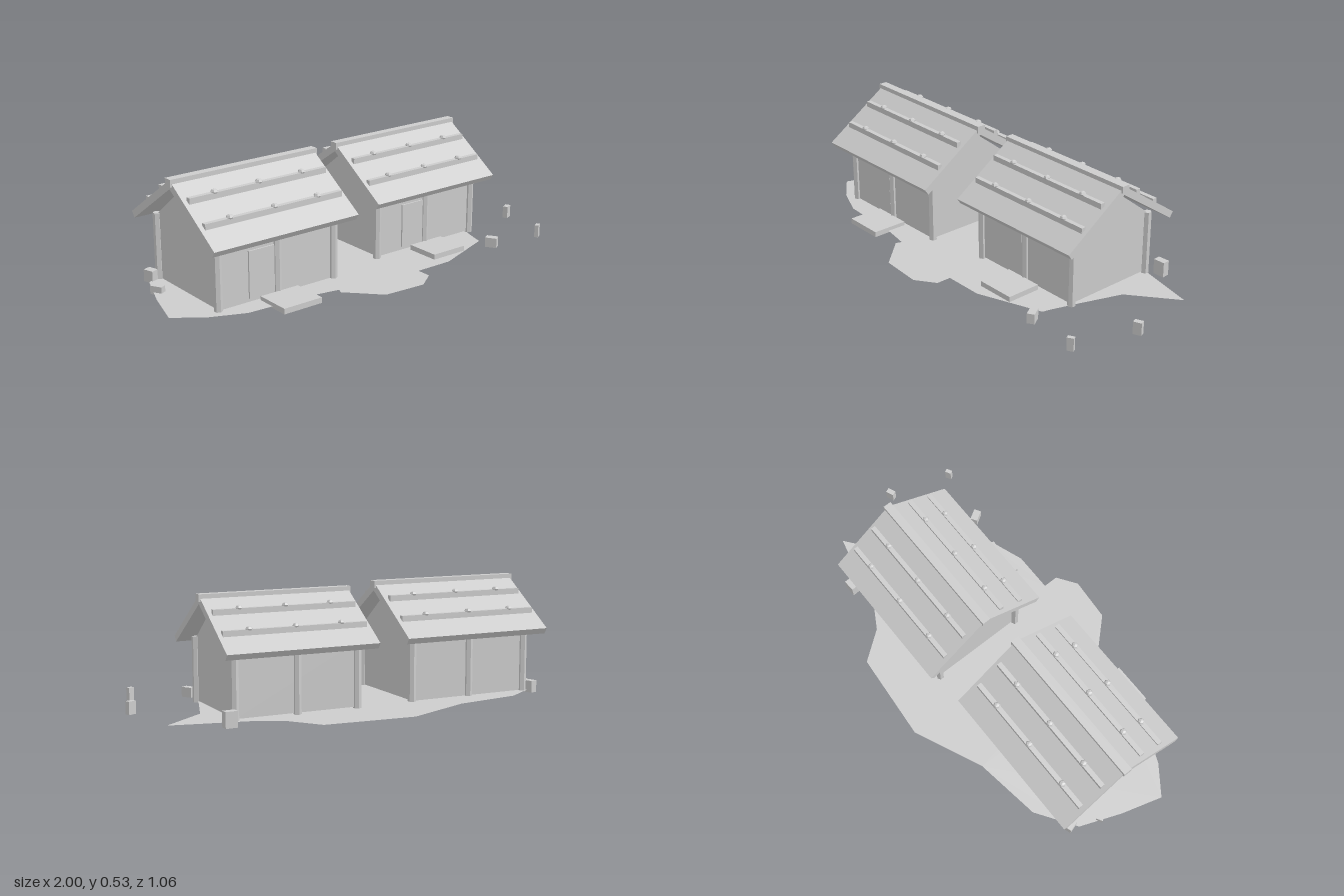
import * as THREE from 'three';

const stoneGrey = new THREE.MeshStandardMaterial({ color: 0xcccccc, flatShading: true });
stoneGrey.name = 'plainGrey';
const groundGrey = stoneGrey.clone();
groundGrey.side = THREE.DoubleSide;

function add(parent, name, geometry, x = 0, y = 0, z = 0, material = stoneGrey) {
  const mesh = new THREE.Mesh(geometry, material);
  mesh.name = name;
  mesh.position.set(x, y, z);
  parent.add(mesh);
  return mesh;
}

// Extrudes a (z, y) outline along x, centred on x = 0
function prism(points, length) {
  const shape = new THREE.Shape(points.map(([a, b]) => new THREE.Vector2(a, b)));
  const geometry = new THREE.ExtrudeGeometry(shape, { depth: length, bevelEnabled: false });
  return geometry.translate(0, 0, -length / 2).rotateY(Math.PI / 2);
}

function createHouse() {
  const house = new THREE.Group();
  house.name = 'house';

  // Walls with pointed gable ends
  add(house, 'walls', prism(
    [[-0.232, 0.014], [0.232, 0.014], [0.232, 0.31], [0, 0.49], [-0.232, 0.31]], 0.588));

  // Pitched roof and ridge beam
  add(house, 'roof', prism(
    [[0, 0.53], [-0.323, 0.311], [-0.305, 0.2845], [0, 0.491], [0.305, 0.2845], [0.323, 0.311]], 0.732));
  add(house, 'ridgeBeam', new THREE.BoxGeometry(0.748, 0.033, 0.04), 0, 0.52, 0);

  for (const side of [-1, 1]) {
    // Six-sided posts along the long walls
    for (const x of [-0.297, 0, 0.297]) {
      add(house, 'post', new THREE.CylinderGeometry(0.0186, 0.0186, 0.306, 6), x, 0.161, side * 0.232);
    }
    // Roof battens with stones on top
    for (const [z, y] of [[0.109, 0.465], [0.22, 0.386]]) {
      add(house, 'batten', new THREE.BoxGeometry(0.692, 0.026, 0.022), 0, y, side * z);
      for (const x of [-0.222, 0, 0.222]) {
        const stone = add(house, 'roofStone', new THREE.SphereGeometry(0.0165, 6, 4), x, y + 0.015, side * z);
        stone.scale.y = 0.75;
      }
    }
  }

  // Door plate and front step
  add(house, 'door', new THREE.BoxGeometry(0.128, 0.21, 0.009), -0.083, 0.135, 0.235);
  add(house, 'step', new THREE.BoxGeometry(0.193, 0.025, 0.168), 0, 0.018, 0.329);
  return house;
}

export function createModel() {
  const model = new THREE.Group();
  model.name = 'twoHouses';

  // Irregular flat ground, outlined as (x, z)
  const outline = [
    [-0.06, -0.537], [0.355, -0.505], [0.457, -0.37], [0.56, -0.31], [0.93, -0.225],
    [0.725, -0.065], [0.66, 0.12], [0.617, 0.25], [0.607, 0.29], [0.313, 0.396],
    [0.13, 0.396], [0.13, 0.465], [0.04, 0.527], [-0.158, 0.513], [-0.29, 0.374],
    [-0.28, 0.348], [-0.395, 0.327], [-0.72, 0.31], [-0.87, 0.246], [-1.0, 0.152],
    [-0.944, -0.037], [-0.87, -0.225], [-0.69, -0.347], [-0.38, -0.393],
  ];
  const shape = new THREE.Shape(outline.map(([x, z]) => new THREE.Vector2(x, -z)));
  add(model, 'ground', new THREE.ShapeGeometry(shape).rotateX(-Math.PI / 2), 0, 0.013, 0, groundGrey);

  // Two houses side by side, the second slightly smaller
  const leftHouse = createHouse();
  leftHouse.position.set(-0.508, 0, -0.013);
  const rightHouse = createHouse();
  rightHouse.position.set(0.367, 0.009, -0.055);
  rightHouse.scale.setScalar(0.96);
  model.add(leftHouse, rightHouse);

  // Loose blocks: x, z, width, height, depth, turn
  const blocks = [
    [0.975, 0.107, 0.038, 0.058, 0.024, 0.4],
    [0.885, 0.397, 0.03, 0.06, 0.018, 0.5],
    [0.62, 0.358, 0.034, 0.046, 0.054, 0.55],
    [0.697, -0.335, 0.055, 0.07, 0.034, 0.05],
    [-0.893, -0.115, 0.03, 0.038, 0.056, 0.5],
    [-0.843, -0.255, 0.036, 0.055, 0.05, 0.3],
  ];
  for (const [x, z, w, h, d, turn] of blocks) {
    add(model, 'looseBlock', new THREE.BoxGeometry(w, h, d), x, 0.003 + h / 2, z).rotation.y = turn;
  }
  return model;
}
